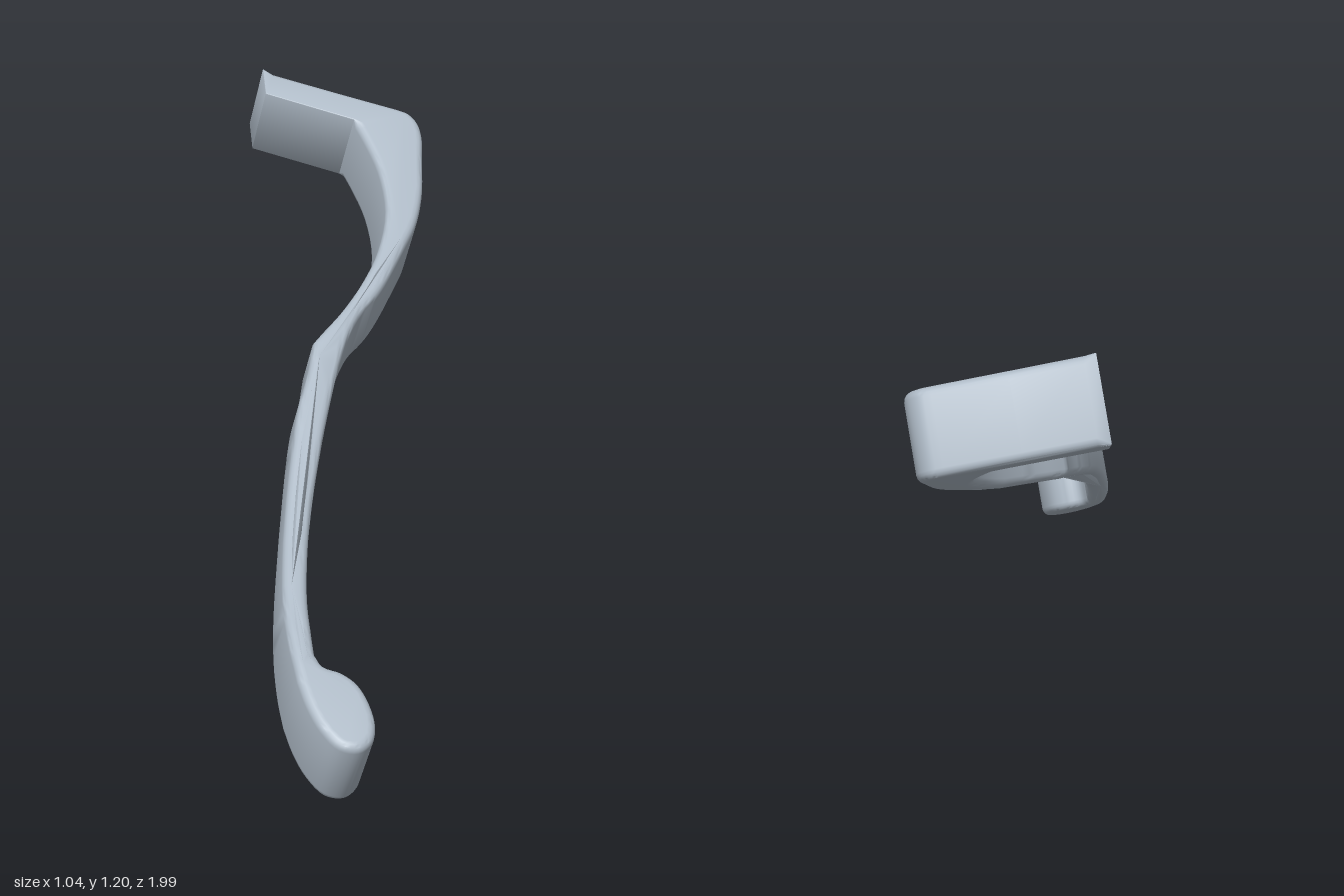
import * as THREE from 'three';
import { toCreasedNormals } from 'three/addons/utils/BufferGeometryUtils.js';

const TILT = THREE.MathUtils.degToRad(28.5);
const v2 = ([x, y]) => new THREE.Vector2(x, y);

// Smooth run of outline points through a few knots
function smooth(knots, n) {
  const curve = new THREE.CatmullRomCurve3(knots.map(([x, y]) => new THREE.Vector3(x, y, 0)), false, 'centripetal');
  return curve.getPoints(n).map(p => new THREE.Vector2(p.x, p.y));
}

// Half thickness along the length: full at the ends, slim in the middle
function halfThickness(s) {
  const stops = [[-2, .1], [-.82, .1], [-.72, .09], [-.6, .071], [-.45, .055], [-.3, .053], [0, .073], [.31, .1], [2, .1]];
  const i = Math.max(1, stops.findIndex(p => p[0] >= s));
  const [s0, h0] = stops[i - 1], [s1, h1] = stops[i];
  return h0 + (h1 - h0) * (s - s0) / (s1 - s0);
}

// Flat outline of the lever, listed clockwise, with a fillet radius per point
function leverOutline() {
  const outerEdge = smooth([[.48, .878], [.505, .857], [.517, .82], [.508, .765], [.47, .675], [.42, .56],
    [.357, .455], [.293, .38], [.182, .26], [.134, .218], [.077, .175], [0, .085], [-.105, -.08],
    [-.2, -.245], [-.28, -.395], [-.345, -.53], [-.4, -.66], [-.43, -.75], [-.448, -.81]], 70);
  const tipBulb = smooth([[-.448, -.81], [-.442, -.845], [-.41, -.87], [-.386, -.905], [-.378, -.95],
    [-.386, -1.02], [-.412, -1.066], [-.452, -1.083], [-.492, -1.064], [-.514, -1.01], [-.52, -.94], [-.515, -.87]], 44);
  const innerEdge = smooth([[-.515, -.87], [-.494, -.77], [-.456, -.645], [-.376, -.455], [-.249, -.19],
    [-.18, -.06], [-.121, .03], [-.072, .118]], 30);
  const innerSweep = smooth([[-.072, .118], [-.035, .146], [.038, .2], [.134, .287], [.214, .38],
    [.293, .515], [.333, .66], [.341, .78], [.34, .851]], 32);
  const rounded = [v2([.19, 1.066]), v2([.33, .974]), ...outerEdge, ...tipBulb.slice(1),
    ...innerEdge.slice(1), ...innerSweep.slice(1, -1)];
  const points = [v2([.165, 1.083]), ...rounded, v2([.34, .851]), v2([.136, .988])];
  const radii = [.003, ...rounded.map(() => .02), .003, .003];
  return { points: points.reverse(), radii: radii.reverse() };
}

// Extrude the outline with filleted rims, following the changing thickness
function leverGeometry() {
  const { points, radii } = leverOutline();
  const n = points.length;
  const normals = points.map((p, i) => {
    const a = points[(i + n - 1) % n], b = points[(i + 1) % n];
    const d1 = p.clone().sub(a).normalize(), d2 = b.clone().sub(p).normalize();
    const d = d1.add(d2).normalize();
    return new THREE.Vector2(d.y, -d.x);
  });

  const steps = 4, rings = [];
  for (const side of [-1, 1]) {
    for (let k = 0; k <= steps; k++) {
      const a = (side < 0 ? k / steps - 1 : k / steps) * Math.PI / 2;
      rings.push(points.map((p, i) => {
        const r = radii[i], inset = r * (1 - Math.cos(a));
        const t = side * (halfThickness(p.y) - r) + r * Math.sin(a);
        return new THREE.Vector3(p.x - normals[i].x * inset, p.y - normals[i].y * inset, t);
      }));
    }
  }

  const index = [];
  for (let k = 0; k < rings.length - 1; k++) {
    for (let i = 0; i < n; i++) {
      const j = (i + 1) % n, a = k * n, b = a + n;
      index.push(a + i, a + j, b + j, a + i, b + j, b + i);
    }
  }
  // Broad faces
  const last = (rings.length - 1) * n;
  const cap = THREE.ShapeUtils.triangulateShape(rings[rings.length - 1].map(p => new THREE.Vector2(p.x, p.y)), []);
  for (const [a, b, c] of cap) index.push(last + a, last + b, last + c, a, c, b);

  const geometry = new THREE.BufferGeometry().setFromPoints(rings.flat());
  geometry.setIndex(index);
  return toCreasedNormals(geometry, .6);
}

export function createModel() {
  const metal = new THREE.MeshStandardMaterial({ color: 0xb0bcc8 });
  metal.name = 'pale steel';

  const lever = new THREE.Mesh(leverGeometry(), metal);
  lever.name = 'lever';
  lever.rotation.x = TILT - Math.PI / 2;
  lever.position.y = .605;

  const model = new THREE.Group();
  model.name = 'handLever';
  model.add(lever);
  return model;
}
